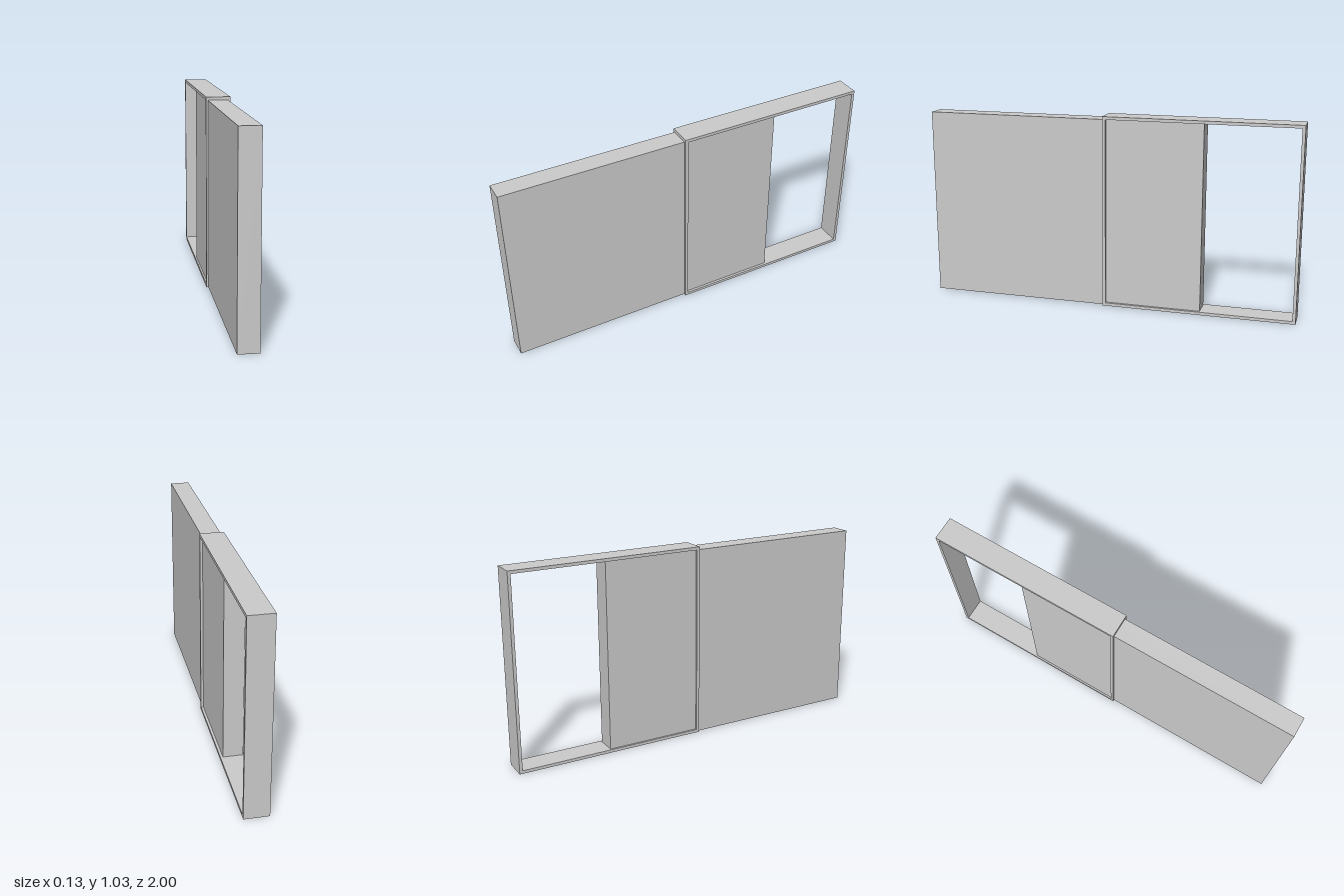
import * as THREE from 'three';

export function createModel() {
  const model = new THREE.Group();
  const material = new THREE.MeshStandardMaterial({ color: 0xcccccc, flatShading: true });

  // Thin rectangular frame, drawn in (z, y) and extruded across x
  const depth = 0.128, height = 1.03, wall = 0.016;
  const back = -1, front = 0.03;
  const rect = (target, a, b, c, d) =>
    target.moveTo(a, b).lineTo(c, b).lineTo(c, d).lineTo(a, d).closePath();
  // Shape x runs toward -z once the extrusion is turned to face +x
  const outline = rect(new THREE.Shape(), -front, 0, -back, height);
  outline.holes.push(rect(new THREE.Path(), -front + wall, wall, -back - wall, height - wall));
  const frameGeometry = new THREE.ExtrudeGeometry(outline, { depth, bevelEnabled: false });
  frameGeometry.translate(0, 0, -depth / 2).rotateY(Math.PI / 2);
  const frame = new THREE.Mesh(frameGeometry, material);
  frame.name = 'frame';
  model.add(frame);

  // Solid sliding panel passing through the front of the frame
  const panel = new THREE.Mesh(new THREE.BoxGeometry(0.105, 1.011, 1.5), material);
  panel.name = 'slidingPanel';
  panel.position.set(-0.002, 0.002 + 1.011 / 2, 0.25);
  model.add(panel);

  return model;
}
